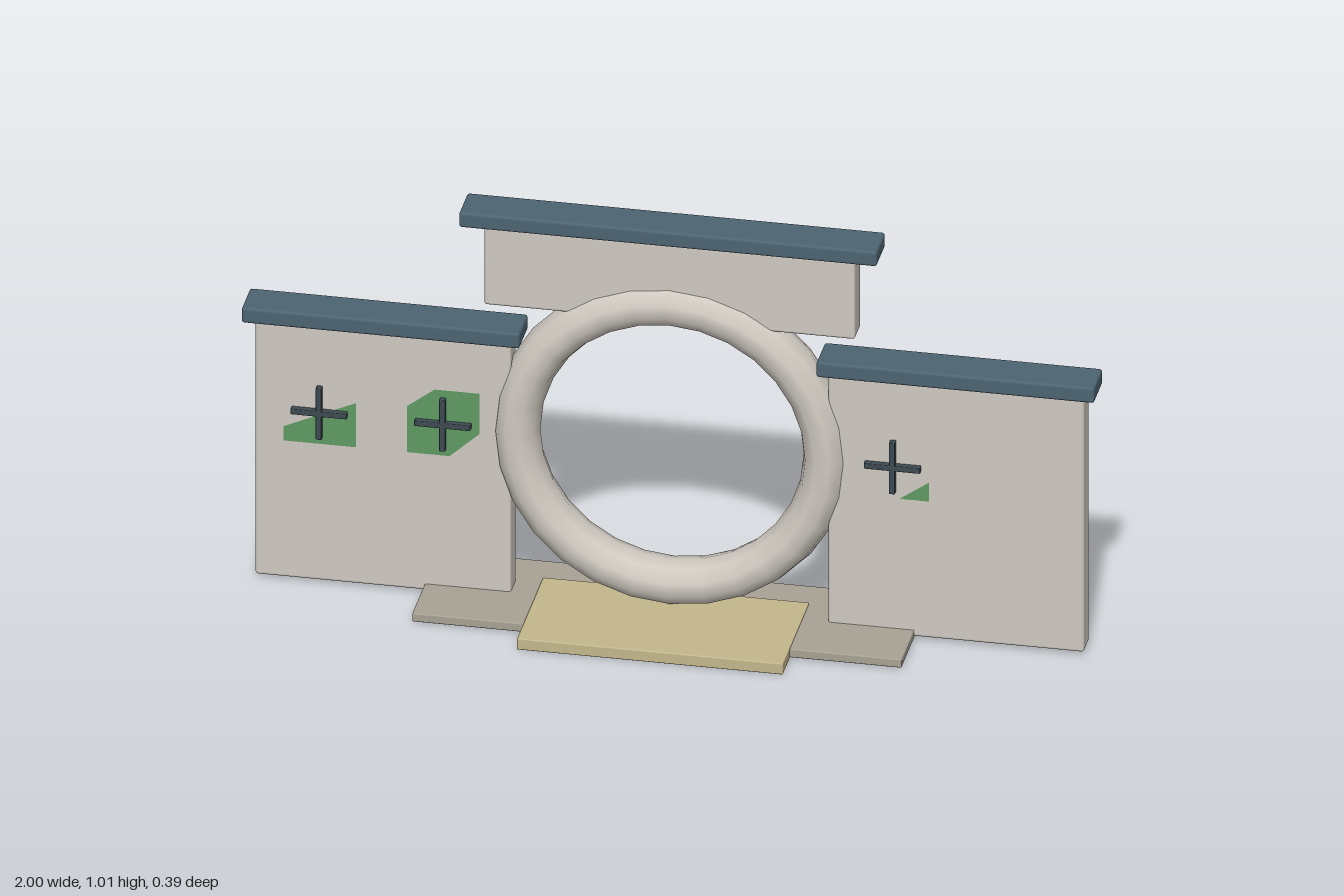
import * as THREE from 'three';
import { RoundedBoxGeometry } from 'three/addons/geometries/RoundedBoxGeometry.js';

const material = (color, side = THREE.FrontSide) => new THREE.MeshStandardMaterial({ color, side });

export function createModel() {
  const group = new THREE.Group();
  const plaster = material(0xcfc9c0);
  const tile = material(0x4d6472);
  const stone = material(0xa8a294);
  const sand = material(0xc4b78c);
  const slate = material(0x3e4a52);
  const leaf = material(0x5f9a62, THREE.DoubleSide);

  // Softened box given by its extents along each axis
  function slab(name, mat, [x0, x1], [y0, y1], [z0, z1], radius = 0.007) {
    const geometry = new RoundedBoxGeometry(x1 - x0, y1 - y0, z1 - z0, 2, radius);
    const mesh = new THREE.Mesh(geometry, mat);
    mesh.name = name;
    mesh.position.set((x0 + x1) / 2, (y0 + y1) / 2, (z0 + z1) / 2);
    group.add(mesh);
  }

  const wallZ = [-0.097, -0.032];
  const capZ = [-0.114, -0.012];

  // Side walls with their coping
  for (const [side, s] of [['left', 1], ['right', -1]]) {
    const span = (a, b) => (s > 0 ? [a, b] : [-b, -a]);
    slab(side + 'Wall', plaster, span(0.372, 0.972), [0.008, 0.67], wallZ);
    slab(side + 'Coping', tile, span(0.348, 1), [0.67, 0.71], capZ);
  }

  // Lintel wall over the opening
  slab('lintelWall', plaster, [-0.435, 0.435], [0.767, 0.97], wallZ);
  slab('lintelCoping', tile, [-0.49, 0.49], [0.973, 1.012], capZ);

  // Round gate frame
  const ring = new THREE.Mesh(new THREE.TorusGeometry(0.363, 0.054, 10, 28), plaster);
  ring.name = 'moonGateRing';
  ring.position.set(0, 0.442, -0.064);
  ring.scale.z = 1.14;
  group.add(ring);

  // Threshold and path
  slab('threshold', stone, [-0.574, 0.574], [0.003, 0.025], [-0.197, 0.115], 0.003);
  slab('path', sand, [-0.312, 0.312], [0, 0.029], [-0.11, 0.196], 0.003);

  // Window lattice crosses
  for (const x of [-0.82, -0.53, 0.525]) {
    const z = [-0.033, -0.016];
    slab('latticeUpright', slate, [x - 0.007, x + 0.007], [0.382, 0.516], z, 0.002);
    slab('latticeCrossbar', slate, [x - 0.066, x + 0.066], [0.442, 0.456], z, 0.002);
  }

  // Green panes lying on the wall face
  const panes = [
    [[-0.905, 0.365], [-0.735, 0.365], [-0.735, 0.48], [-0.905, 0.402]],
    [[-0.615, 0.365], [-0.515, 0.365], [-0.445, 0.43], [-0.445, 0.535], [-0.55, 0.535], [-0.615, 0.485]],
    [[0.54, 0.365], [0.61, 0.365], [0.61, 0.415]],
  ];
  for (const points of panes) {
    const shape = new THREE.Shape(points.map(([x, y]) => new THREE.Vector2(x, y)));
    const pane = new THREE.Mesh(new THREE.ShapeGeometry(shape), leaf);
    pane.name = 'greenPane';
    pane.position.z = -0.03;
    group.add(pane);
  }
  return group;
}
